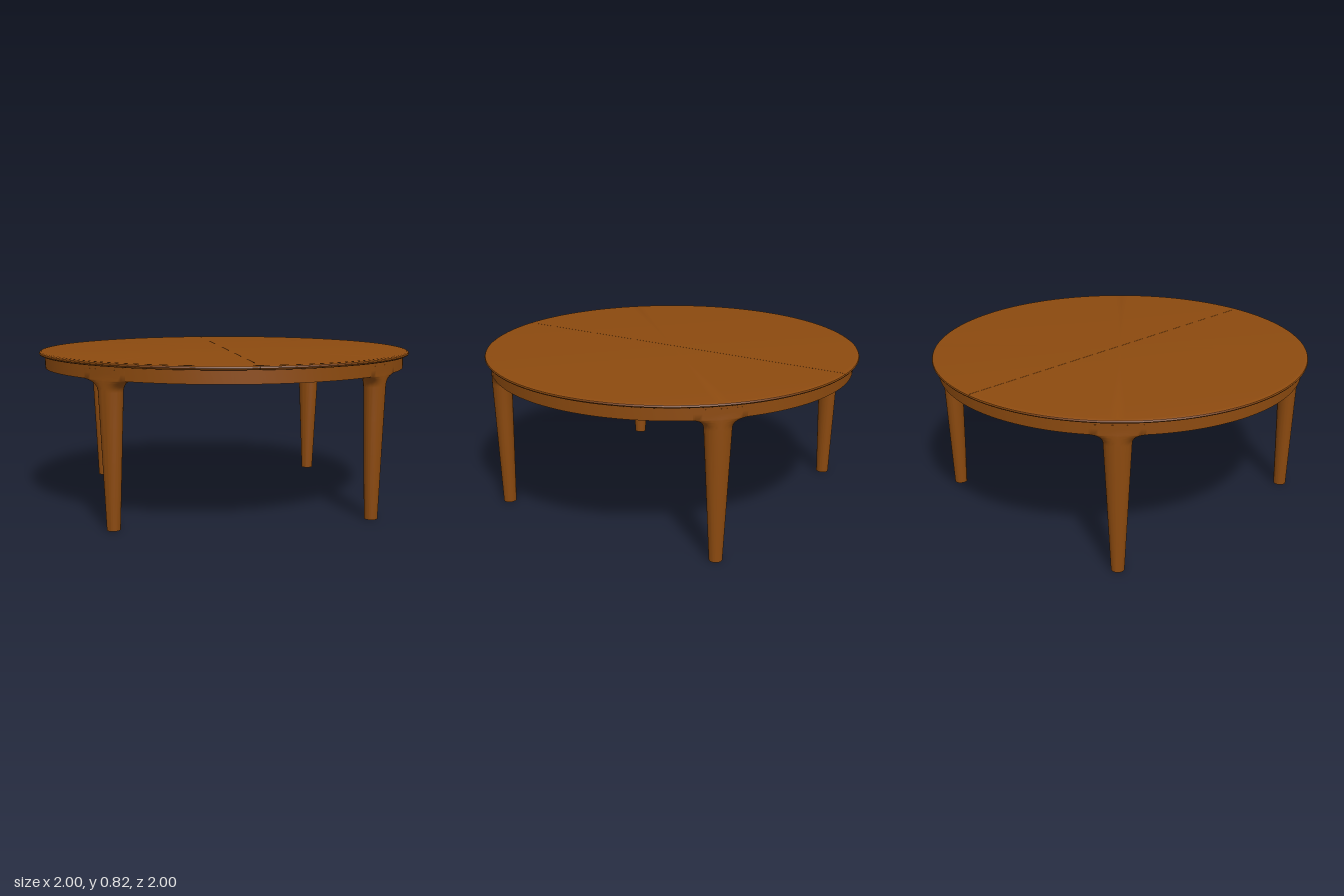
import * as THREE from 'three';
import { toCreasedNormals } from 'three/addons/utils/BufferGeometryUtils.js';

const lerp = THREE.MathUtils.lerp;
const wood = new THREE.MeshStandardMaterial({ color: 0x8c4a0f });
wood.name = 'warm brown wood';

const profile = (pairs) => pairs.map(([r, y]) => new THREE.Vector2(r, y));

function part(name, geometry, crease = 0.6) {
  const mesh = new THREE.Mesh(toCreasedNormals(geometry, crease), wood);
  mesh.name = name;
  return mesh;
}

// Half of the round top, with a softened rim and a flat face along the seam
function tabletopHalf(name) {
  const half = new THREE.Group();
  half.name = name;
  const pts = profile([
    [0, 0.8], [0.975, 0.8], [0.987, 0.801], [0.996, 0.805], [1, 0.811],
    [0.997, 0.817], [0.989, 0.821], [0.978, 0.822], [0, 0.822],
  ]);
  half.add(part('roundedSlab', new THREE.LatheGeometry(pts, 80, 0, Math.PI)));
  const rim = pts.slice(1, -1);
  const mirrored = rim.map((p) => new THREE.Vector2(-p.x, p.y)).reverse();
  const cut = new THREE.ShapeGeometry(new THREE.Shape([...rim, ...mirrored]));
  half.add(part('seamFace', cut.rotateY(-Math.PI / 2)));
  half.children.forEach((m) => (m.position.x = 0.0007));
  return half;
}

// Tapered leg whose head flares along the apron ring and bulges inside it
function legGeometry() {
  const N = 48;
  const levels = []; // y, half width along the ring, inner radius, outer radius, flare 0..1
  for (let i = 0; i <= 4; i++) {
    const k = i / 4;
    levels.push([0.675 * k, lerp(0.034, 0.069, k), lerp(0.882, 0.867, k), lerp(0.95, 0.971, k), 0]);
  }
  for (let i = 1; i <= 10; i++) {
    const a = (i / 10) * Math.PI / 2;
    const grow = 1 - Math.cos(a);
    levels.push([0.675 + 0.06 * Math.sin(a), 0.069 + 0.085 * grow, 0.867, 0.971, Math.min(1, grow * 1.3)]);
  }
  levels.push([0.765, 0.154, 0.869, 0.971, 1], [0.778, 0.154, 0.88, 0.971, 1], [0.785, 0.154, 0.9, 0.971, 1]);

  const pos = [], idx = [];
  const put = (r, t, y) => pos.push(r * Math.sin(t / 0.945), y, r * Math.cos(t / 0.945));
  for (const [y, halfWidth, inner, outer, flare] of levels) {
    const power = lerp(1, 0.3, flare);
    const mid = lerp((inner + outer) / 2, 0.945, flare);
    for (let j = 0; j < N; j++) {
      const a = (j / N) * Math.PI * 2, c = Math.cos(a), s = Math.sin(a);
      const t = halfWidth * Math.sign(c) * Math.abs(c) ** power;
      const bulge = 1 - THREE.MathUtils.smoothstep(Math.abs(t), 0.03, 0.1);
      const innerHere = lerp(inner, lerp(0.92, inner, bulge), flare);
      const reach = Math.abs(s) ** power;
      put(s >= 0 ? mid + (outer - mid) * reach : mid - (mid - innerHere) * reach, t, y);
    }
  }
  for (let i = 0; i < levels.length - 1; i++) {
    for (let j = 0; j < N; j++) {
      const a = i * N + j, b = i * N + (j + 1) % N;
      idx.push(a, a + N, b, b, a + N, b + N);
    }
  }
  // Foot and head caps
  const foot = pos.length / 3, last = (levels.length - 1) * N;
  put(0.916, 0, 0);
  put(0.945, 0, 0.785);
  for (let j = 0; j < N; j++) {
    const n = (j + 1) % N;
    idx.push(foot, j, n, foot + 1, last + n, last + j);
  }
  const g = new THREE.BufferGeometry();
  g.setAttribute('position', new THREE.Float32BufferAttribute(pos, 3));
  g.setIndex(idx);
  return g;
}

export function createModel() {
  const table = new THREE.Group();
  table.name = 'roundTable';

  // Two-piece top
  const leftHalf = tabletopHalf('tabletopLeft');
  const rightHalf = tabletopHalf('tabletopRight');
  rightHalf.rotation.y = Math.PI;
  table.add(leftHalf, rightHalf);

  // Ring apron beneath the top
  const ring = profile([[0.92, 0.801], [0.92, 0.735], [0.97, 0.735], [0.97, 0.801]]);
  table.add(part('apron', new THREE.LatheGeometry(ring, 160)));

  // Four legs on the diagonals
  const leg = legGeometry();
  ['frontLeftLeg', 'backLeftLeg', 'backRightLeg', 'frontRightLeg'].forEach((name, i) => {
    const mesh = part(name, leg, 0.8);
    mesh.rotation.y = Math.PI / 4 + (i * Math.PI) / 2;
    table.add(mesh);
  });
  return table;
}
